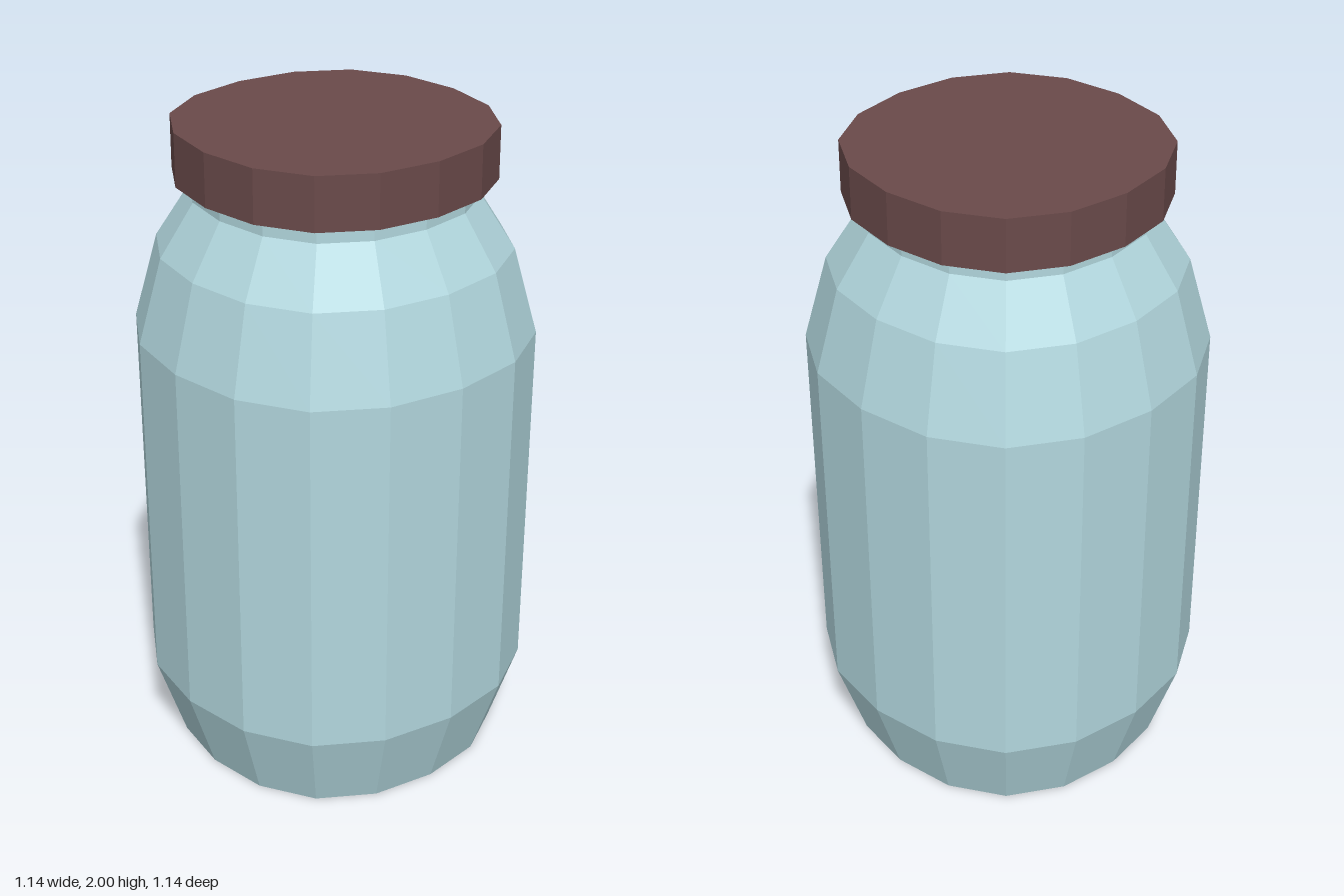
import * as THREE from 'three';

// One quarter of the slightly squared, 16-sided cross-section (unit size)
const QUARTER = [[0, 1], [0.405, 0.938], [0.738, 0.738], [0.938, 0.405]];
const SIDES = 16;

// Sweep a [radius, height] profile round the squared cross-section
function turned(name, profile, color) {
  const points = profile.map(([r, y]) => new THREE.Vector2(r, y));
  const geometry = new THREE.LatheGeometry(points, SIDES);
  const position = geometry.attributes.position;
  for (let i = 0; i < position.count; i++) {
    const step = Math.floor(i / points.length) % SIDES;
    const r = points[i % points.length].x;
    let [x, z] = QUARTER[step % 4];
    for (let q = 0; q < Math.floor(step / 4); q++) [x, z] = [z, -x];
    position.setXYZ(i, x * r, position.getY(i), z * r);
  }
  geometry.computeVertexNormals();
  const material = new THREE.MeshStandardMaterial({
    color, flatShading: true, side: THREE.DoubleSide,
  });
  const mesh = new THREE.Mesh(geometry, material);
  mesh.name = name;
  return mesh;
}

export function createModel() {
  const group = new THREE.Group();
  group.name = 'jar';

  // Glass body: closed base, bevel, straight wall, two-step shoulder, neck
  group.add(turned('glassBody', [
    [0, 0], [0.48, 0], [0.565, 0.26], [0.572, 1.37],
    [0.503, 1.63], [0.405, 1.79], [0.405, 1.94],
  ], 0xb2d7de));

  // Lid: thin cap, open underneath
  group.add(turned('lid', [[0.452, 1.84], [0.452, 2], [0, 2]], 0x6a4a4a));

  return group;
}
